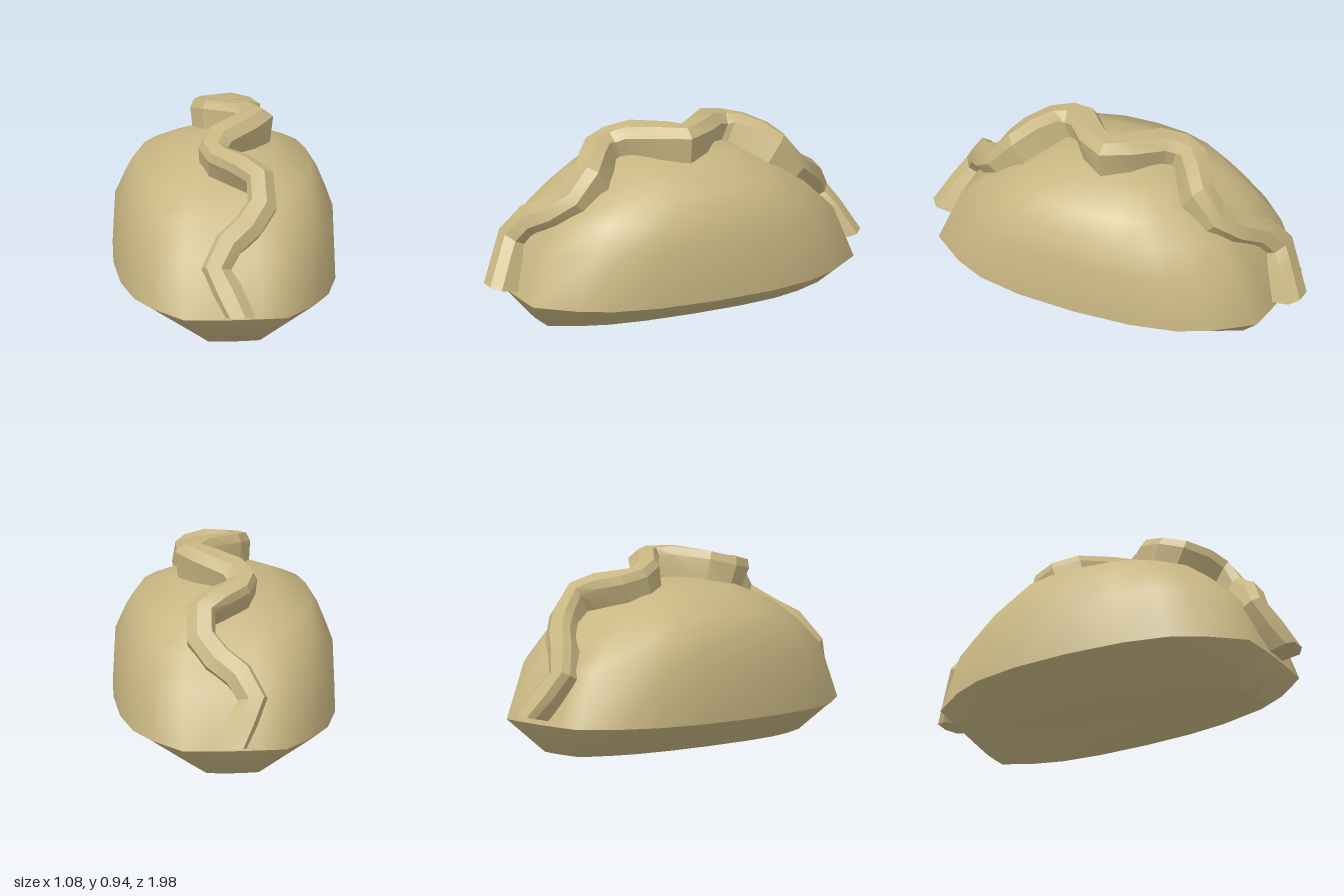
import * as THREE from 'three';
import { toCreasedNormals } from 'three/addons/utils/BufferGeometryUtils.js';

const dough = new THREE.MeshStandardMaterial({ color: 0xc8b682 });

// Skins a list of closed rings (arrays of Vector3) and caps both ends.
function loft(rings, crease) {
  const n = rings[0].length, pos = [], idx = [];
  rings.forEach(r => r.forEach(p => pos.push(p.x, p.y, p.z)));
  for (let i = 0; i < rings.length - 1; i++)
    for (let j = 0; j < n; j++) {
      const a = i * n + j, b = i * n + (j + 1) % n;
      idx.push(a, b, b + n, a, b + n, a + n);
    }
  const last = (rings.length - 1) * n;
  for (let j = 1; j < n - 1; j++) {
    idx.push(0, j + 1, j);
    idx.push(last, last + j, last + j + 1);
  }
  const g = new THREE.BufferGeometry();
  g.setAttribute('position', new THREE.Float32BufferAttribute(pos, 3));
  g.setIndex(idx);
  return toCreasedNormals(g, crease);
}

function mesh(name, geometry) {
  const m = new THREE.Mesh(geometry, dough);
  m.name = name;
  return m;
}

// Plump body: one oval plan outline scaled level by level.
function body() {
  const quarter = [[0, 0.99], [0.24, 0.985], [0.47, 0.975], [0.73, 0.78], [0.88, 0.6], [0.97, 0.34], [1, 0]];
  const half = [...quarter, ...quarter.slice(0, -1).reverse().map(([x, z]) => [x, -z])];
  const outline = [...half, ...half.slice(1, -1).reverse().map(([x, z]) => [-x, z])];
  // y, half width, half length
  const levels = [
    [0, 0.27, 0.74], [0.16, 0.54, 0.88], [0.43, 0.53, 0.77],
    [0.56, 0.48, 0.64], [0.67, 0.42, 0.49], [0.76, 0.24, 0.3], [0.79, 0.11, 0.14], [0.8, 0.01, 0.01],
  ];
  return loft(levels.map(([y, w, l]) => outline.map(([x, z]) => new THREE.Vector3(x * w, y, z * l))), 0.98);
}

// Pleated seam: a bevelled strip weaving over the top from end to end.
function seam() {
  const front = [
    [0, 0.21, 0.99], [-0.06, 0.33, 0.92], [-0.11, 0.43, 0.86], [-0.04, 0.55, 0.79], [0.06, 0.615, 0.71],
    [0.13, 0.69, 0.62], [0.125, 0.8, 0.54], [0.04, 0.845, 0.48], [-0.06, 0.868, 0.4], [-0.09, 0.885, 0.31],
    [-0.05, 0.915, 0.21], [0.09, 0.94, 0.09], [0.15, 0.937, 0],
  ];
  const path = [...front, ...front.slice(0, -1).reverse().map(([x, y, z]) => [x, y, -z])]
    .map(p => new THREE.Vector3(...p));
  // sideways offset, depth below the crest
  const section = [[-0.045, -0.17], [-0.055, -0.04], [-0.035, 0], [0.04, 0], [0.09, -0.04], [0.075, -0.17]];
  const rings = path.map((p, i) => {
    const before = path[Math.max(i - 1, 0)], after = path[Math.min(i + 1, path.length - 1)];
    const along = after.clone().sub(before);
    if (i === 0 || i === path.length - 1) along.x = 0; // square-cut ends
    const out = new THREE.Vector3(0, p.y, p.z).normalize();
    const side = along.cross(out).normalize();
    return section.map(([s, d]) => p.clone().addScaledVector(side, s).addScaledVector(out, d));
  });
  return loft(rings, 0.45);
}

export function createModel() {
  const model = new THREE.Group();
  model.name = 'dumpling';
  model.add(mesh('body', body()), mesh('pleatedSeam', seam()));
  return model;
}
